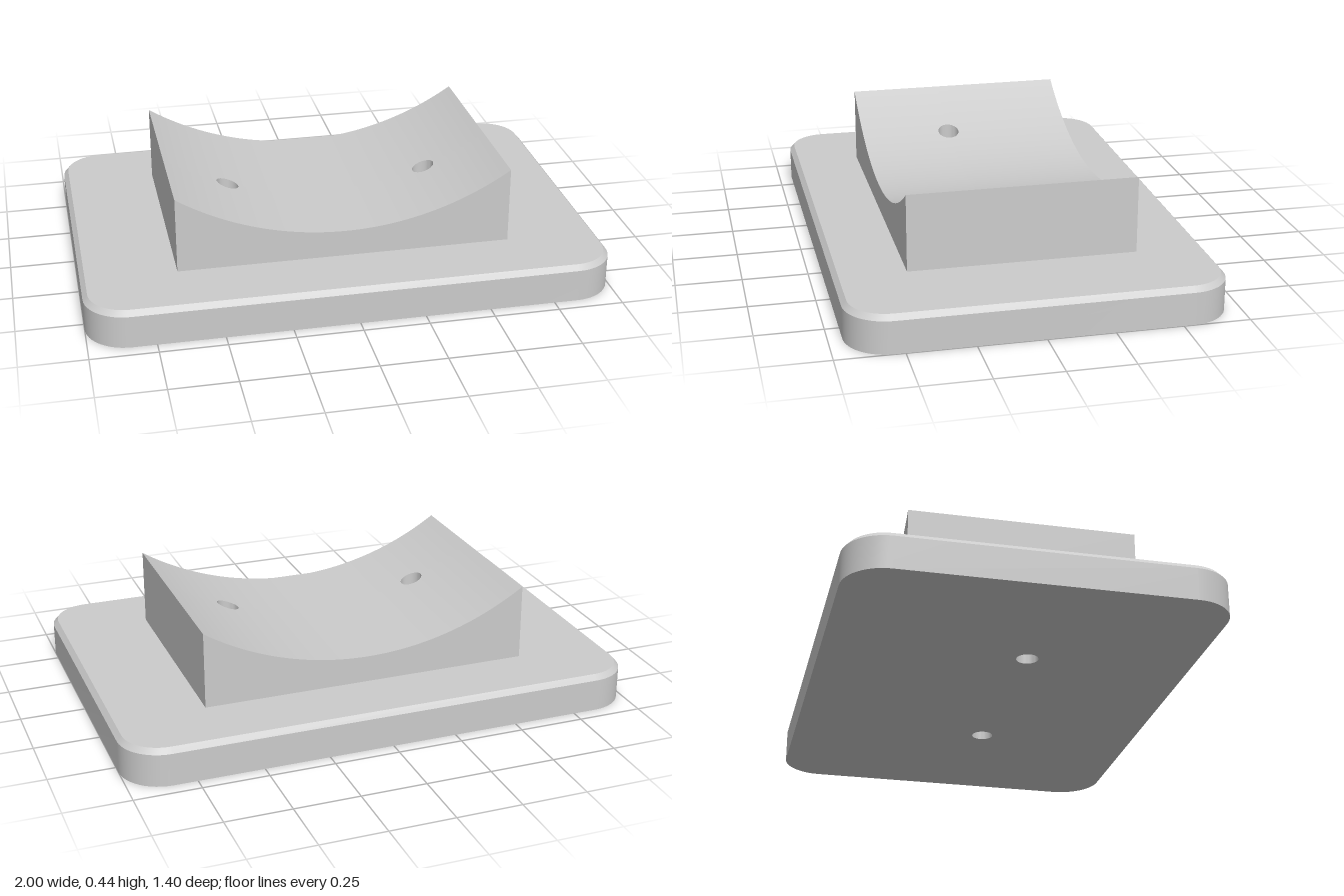
import * as THREE from 'three';
import { toCreasedNormals } from 'three/addons/utils/BufferGeometryUtils.js';

const BASE = { x: 1, z: 0.698, wall: 0.125, top: 0.145, radius: 0.16, chamfer: 0.018 };
const SADDLE = { x: 0.64, z: 0.432, low: 0.248, high: 0.44 };
const HOLE = { xs: [-0.393, 0.393], z: 0.073, r: 0.042, half: 16 };

// Height of the concave cradle at x
const sag = SADDLE.high - SADDLE.low;
const arcR = (SADDLE.x ** 2 + sag ** 2) / (2 * sag);
const cradleY = (x) => SADDLE.low + arcR - Math.sqrt(arcR ** 2 - x ** 2);

// Ruled surface between two matching rows of points
function strip(lower, upper) {
  const index = [];
  const n = lower.length;
  for (let i = 0; i < n - 1; i++) index.push(i, i + 1, n + i + 1, i, n + i + 1, n + i);
  const g = new THREE.BufferGeometry().setFromPoints([...lower, ...upper]);
  g.setIndex(index);
  return toCreasedNormals(g, 0.5);
}

// Plan outlines are Vector2(x, -z), counter-clockwise from above
const lift = (pts, y) => pts.map((p) => new THREE.Vector3(p.x, typeof y === 'function' ? y(p.x) : y, -p.y));
const closed = (pts) => [...pts, pts[0]];

function roundedOutline(inset) {
  const r = BASE.radius - inset;
  const pts = [];
  for (let corner = 0; corner < 4; corner++) {
    const sx = corner === 0 || corner === 3 ? 1 : -1;
    const sy = corner < 2 ? 1 : -1;
    for (let i = 0; i <= 12; i++) {
      const a = (corner + i / 12) * Math.PI / 2;
      pts.push(new THREE.Vector2(
        sx * (BASE.x - BASE.radius) + r * Math.cos(a),
        sy * (BASE.z - BASE.radius) + r * Math.sin(a)));
    }
  }
  return pts;
}

function holeOutline(cx) {
  return Array.from({ length: HOLE.half * 2 }, (_, i) => {
    const a = (i / HOLE.half) * Math.PI;
    return new THREE.Vector2(cx + HOLE.r * Math.cos(a), -HOLE.z + HOLE.r * Math.sin(a));
  });
}

// Flat horizontal face with cut-outs
function flatFace(outline, cutouts, y, faceDown) {
  const shape = new THREE.Shape(outline);
  shape.holes = cutouts.map((c) => new THREE.Path(c));
  const g = new THREE.ShapeGeometry(shape);
  if (faceDown) {
    const idx = Array.from(g.index.array);
    g.setIndex(idx.reverse());
  }
  g.rotateX(-Math.PI / 2).translate(0, y, 0);
  g.computeVertexNormals();
  return g;
}

// Stations across the cradle, lined up with the points of the hole rims
function cradleStations() {
  const xs = [];
  for (let i = 0; i <= 48; i++) {
    const x = SADDLE.x * (i / 24 - 1);
    if (HOLE.xs.every((c) => Math.abs(x - c) > HOLE.r + 0.003)) xs.push(x);
  }
  for (const c of HOLE.xs) {
    for (let i = 0; i <= HOLE.half; i++) xs.push(c + HOLE.r * Math.cos((i / HOLE.half) * Math.PI));
  }
  return xs.sort((a, b) => a - b);
}

export function createModel() {
  const model = new THREE.Group();
  model.name = 'cradleMount';
  const material = new THREE.MeshStandardMaterial({ color: 0xcccccc });
  const group = (name) => {
    const g = new THREE.Group();
    g.name = name;
    model.add(g);
    return g;
  };
  const add = (parent, name, geometry) => {
    const mesh = new THREE.Mesh(geometry, material);
    mesh.name = name;
    parent.add(mesh);
  };

  // Base plate with rounded corners and a chamfered top edge
  const base = group('basePlate');
  const outer = roundedOutline(0);
  const inner = roundedOutline(BASE.chamfer);
  const holes = HOLE.xs.map(holeOutline);
  const footprint = [[-1, -1], [1, -1], [1, 1], [-1, 1]]
    .map(([sx, sy]) => new THREE.Vector2(sx * SADDLE.x, sy * SADDLE.z));
  add(base, 'baseWall', strip(lift(closed(outer), 0), lift(closed(outer), BASE.wall)));
  add(base, 'baseChamfer', strip(lift(closed(outer), BASE.wall), lift(closed(inner), BASE.top)));
  add(base, 'baseTop', flatFace(inner, [footprint], BASE.top, false));
  add(base, 'baseUnderside', flatFace(outer, holes, 0, true));

  // Saddle block: upright sides following the cradle curve
  const saddle = group('saddle');
  const xs = cradleStations();
  const front = xs.map((x) => new THREE.Vector2(x, -SADDLE.z));
  const back = xs.map((x) => new THREE.Vector2(x, SADDLE.z)).reverse();
  const rim = closed([...front, ...back]);
  add(saddle, 'saddleSides', strip(lift(rim, BASE.top), lift(rim, cradleY)));

  // Cradle surface: a front and a back band that part around the holes
  const gap = (x) => Math.max(0, ...HOLE.xs.map((c) => Math.sqrt(Math.max(0, HOLE.r ** 2 - (x - c) ** 2))));
  const row = (zAt) => xs.map((x) => new THREE.Vector3(x, cradleY(x), zAt(x)));
  add(saddle, 'cradleFront', strip(row(() => SADDLE.z), row((x) => HOLE.z + gap(x))));
  add(saddle, 'cradleBack', strip(row((x) => HOLE.z - gap(x)), row(() => -SADDLE.z)));

  // Screw holes running right through
  const bores = group('screwHoles');
  holes.forEach((pts, i) => {
    const ring = closed(pts).reverse();
    add(bores, i ? 'leftScrewHole' : 'rightScrewHole', strip(lift(ring, 0), lift(ring, cradleY)));
  });
  return model;
}
